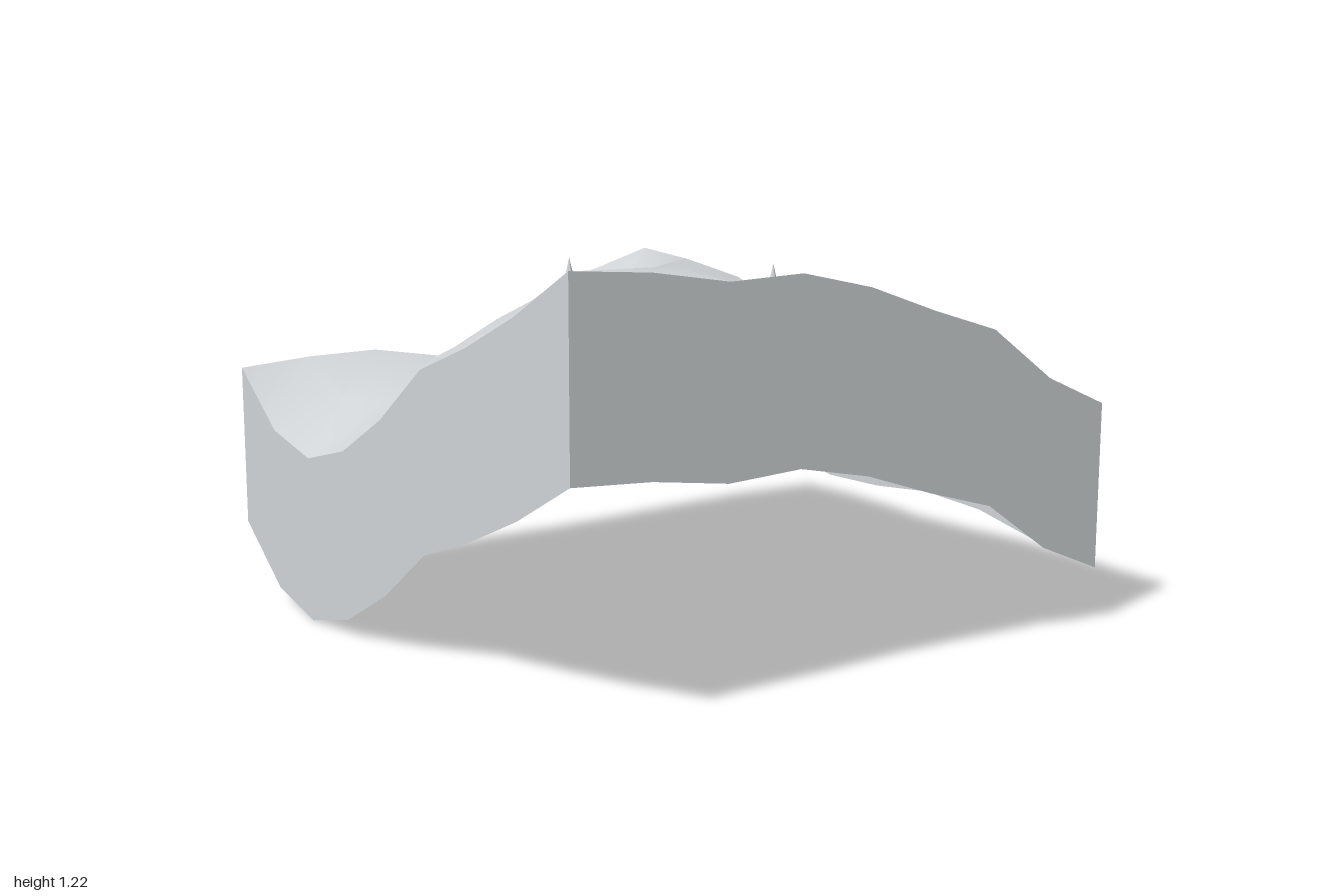
import * as THREE from 'three';
import { toCreasedNormals } from 'three/addons/utils/BufferGeometryUtils.js';

// Ground heights on a 9 x 9 grid, back row (z = -1) to front row (z = 1), x from -1 to 1
const HEIGHTS = [
  [0.765, 0.785, 0.79, 0.75, 0.84, 0.98, 1.05, 0.99, 0.90],
  [0.585, 0.68, 0.72, 0.74, 0.86, 1.05, 1.125, 1.06, 0.905],
  [0.53, 0.68, 0.74, 0.80, 0.91, 1.05, 1.10, 1.02, 0.87],
  [0.59, 0.71, 0.81, 0.87, 0.925, 0.84, 0.86, 0.89, 0.81],
  [0.72, 0.87, 0.96, 0.94, 0.85, 0.785, 0.79, 0.81, 0.81],
  [0.895, 1.02, 1.03, 0.94, 0.84, 0.78, 0.775, 0.79, 0.83],
  [0.98, 1.11, 1.10, 1.01, 0.90, 0.82, 0.785, 0.77, 0.81],
  [1.085, 1.19, 1.19, 1.13, 1.01, 0.93, 0.885, 0.79, 0.75],
  [1.215, 1.20, 1.165, 1.175, 1.125, 1.045, 0.975, 0.81, 0.71],
];
const N = 8;
const STEP = 2 / N;
const SKIRT = 0.53;

const point = (col, row) => [-1 + col * STEP, HEIGHTS[row][col], -1 + row * STEP];

// Rolling surface, smooth except along its sharp crest
function terrainGeometry() {
  const geo = new THREE.PlaneGeometry(2, 2, N, N).rotateX(-Math.PI / 2);
  const pos = geo.attributes.position;
  for (let i = 0; i < pos.count; i++) {
    pos.setY(i, HEIGHTS[Math.floor(i / (N + 1))][i % (N + 1)]);
  }
  return toCreasedNormals(geo, Math.PI / 6);
}

// Flat side wall hanging a constant depth below an edge of the ground
function wallGeometry(edge) {
  const verts = [];
  const index = [];
  edge.forEach(([x, y, z], i) => {
    verts.push(x, y, z, x, y - SKIRT, z);
    if (i < edge.length - 1) {
      const a = i * 2;
      index.push(a, a + 1, a + 2, a + 1, a + 3, a + 2);
    }
  });
  const geo = new THREE.BufferGeometry();
  geo.setAttribute('position', new THREE.Float32BufferAttribute(verts, 3));
  geo.setIndex(index);
  geo.computeVertexNormals();
  return geo;
}

export function createModel() {
  const group = new THREE.Group();
  group.name = 'terrainBlock';
  const stone = new THREE.MeshStandardMaterial({ color: 0xd0d4d6, side: THREE.DoubleSide });
  stone.name = 'paleGrey';

  const add = (name, geo) => {
    const mesh = new THREE.Mesh(geo, stone);
    mesh.name = name;
    group.add(mesh);
    return mesh;
  };

  add('terrain', terrainGeometry());

  // Walls, each running left to right as seen from outside; the underside stays open
  const steps = Array.from({ length: N + 1 }, (_, i) => i);
  add('frontWall', wallGeometry(steps.map((i) => point(i, N))));
  add('leftWall', wallGeometry(steps.map((i) => point(N, N - i))));
  add('backWall', wallGeometry(steps.map((i) => point(N - i, 0))));
  add('rightWall', wallGeometry(steps.map((i) => point(0, i))));

  // Two faceted cone trees
  const cone = new THREE.ConeGeometry(0.053, 0.228, 7).toNonIndexed();
  cone.computeVertexNormals();
  for (const [x, z] of [[-0.335, 0], [0, 0.58]]) {
    add('coneTree', cone).position.set(x, 0.938 + 0.114, z);
  }
  return group;
}
